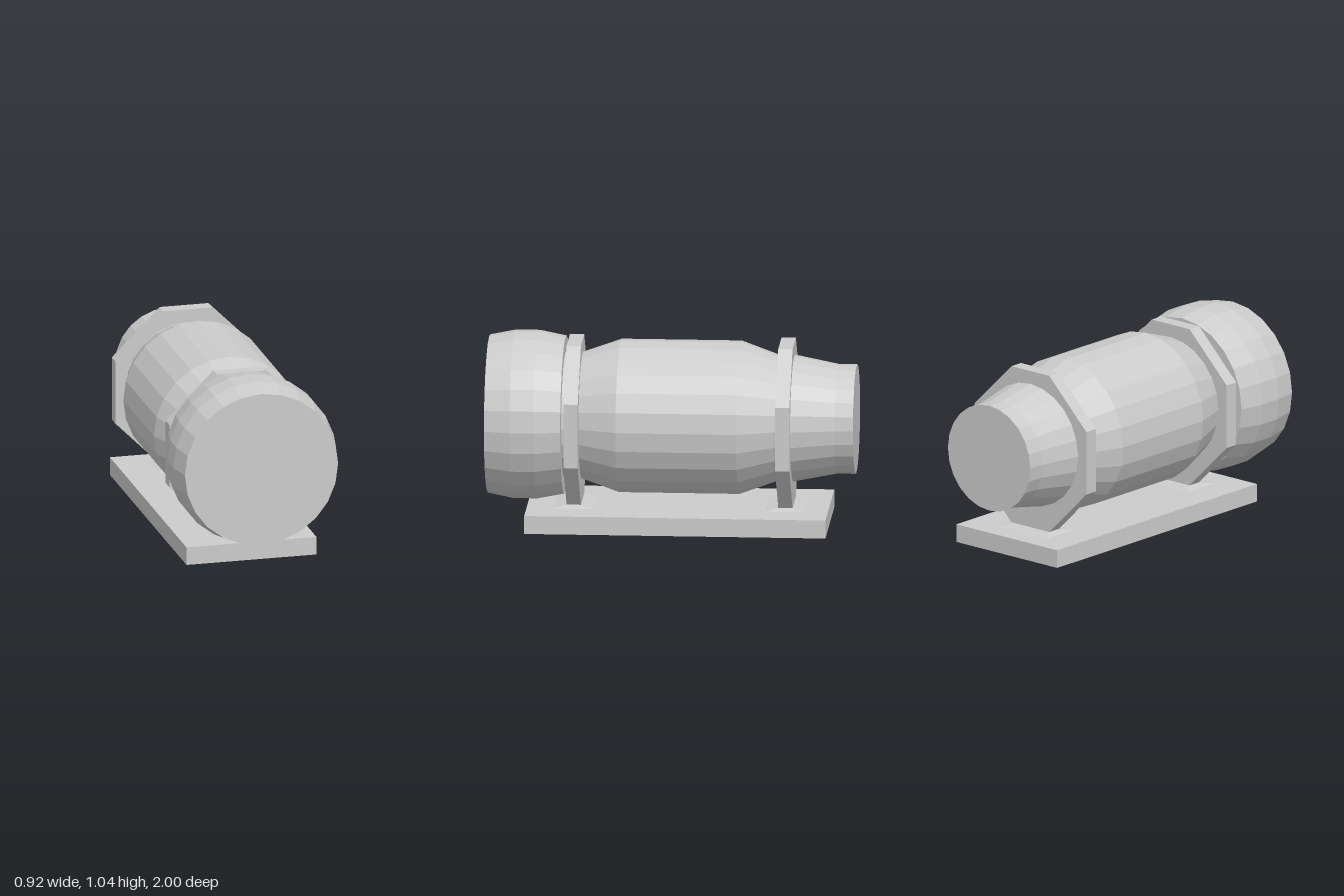
import * as THREE from 'three';

const material = new THREE.MeshStandardMaterial({ color: 0xcccccc, flatShading: true });
const AXIS_Y = 0.583;

function addMesh(parent, name, geometry) {
  const mesh = new THREE.Mesh(geometry, material);
  mesh.name = name;
  parent.add(mesh);
  return mesh;
}

// 24-sided turned part along z, profile given as [radius, z] from back to front
function turned(profile) {
  const points = profile.map(([r, z]) => new THREE.Vector2(r, z));
  return new THREE.LatheGeometry(points, 24).rotateX(Math.PI / 2).translate(0, AXIS_Y, 0);
}

// Octagonal mounting collar with a flared foot on the base
function createCollar(name, z) {
  const collar = new THREE.Group();
  collar.name = name;
  collar.position.z = z;

  const outline = [
    [-0.137, 0.113], [0.137, 0.113], [0.405, 0.38], [0.405, 0.735],
    [0.137, 1.0], [-0.137, 1.0], [-0.405, 0.735], [-0.405, 0.38],
  ].map(([x, y]) => new THREE.Vector2(x, y));
  const ring = new THREE.ExtrudeGeometry(new THREE.Shape(outline), { depth: 0.078, bevelEnabled: false });
  addMesh(collar, 'collarRing', ring.translate(0, 0, -0.039));

  // Foot: a box whose top face is narrowed to meet the ring
  const foot = new THREE.BoxGeometry(0.36, 0.013, 0.22).translate(0, 0.1065, 0);
  const p = foot.attributes.position;
  for (let i = 0; i < p.count; i++) {
    if (p.getY(i) > 0.107) {
      p.setX(i, Math.sign(p.getX(i)) * 0.137);
      p.setZ(i, Math.sign(p.getZ(i)) * 0.039);
    }
  }
  foot.computeVertexNormals();
  addMesh(collar, 'collarFoot', foot);
  return collar;
}

export function createModel() {
  const model = new THREE.Group();
  model.name = 'mountedCylinder';

  // Base plate
  addMesh(model, 'basePlate', new THREE.BoxGeometry(0.73, 0.1, 1.64).translate(0, 0.05, -0.035));

  // Barrel with tapered shoulders and narrow rear end
  addMesh(model, 'barrel', turned([
    [0, -1], [0.298, -1], [0.298, -0.9], [0.345, -0.66], [0.345, -0.57],
    [0.417, -0.37], [0.417, 0.285], [0.345, 0.49], [0.345, 0.59], [0, 0.59],
  ]));

  // Wide front cap
  addMesh(model, 'frontCap', turned([
    [0, 0.585], [0.43, 0.585], [0.458, 0.73], [0.458, 0.86], [0.43, 1], [0, 1],
  ]));

  model.add(createCollar('frontCollar', 0.53), createCollar('rearCollar', -0.622));
  return model;
}
